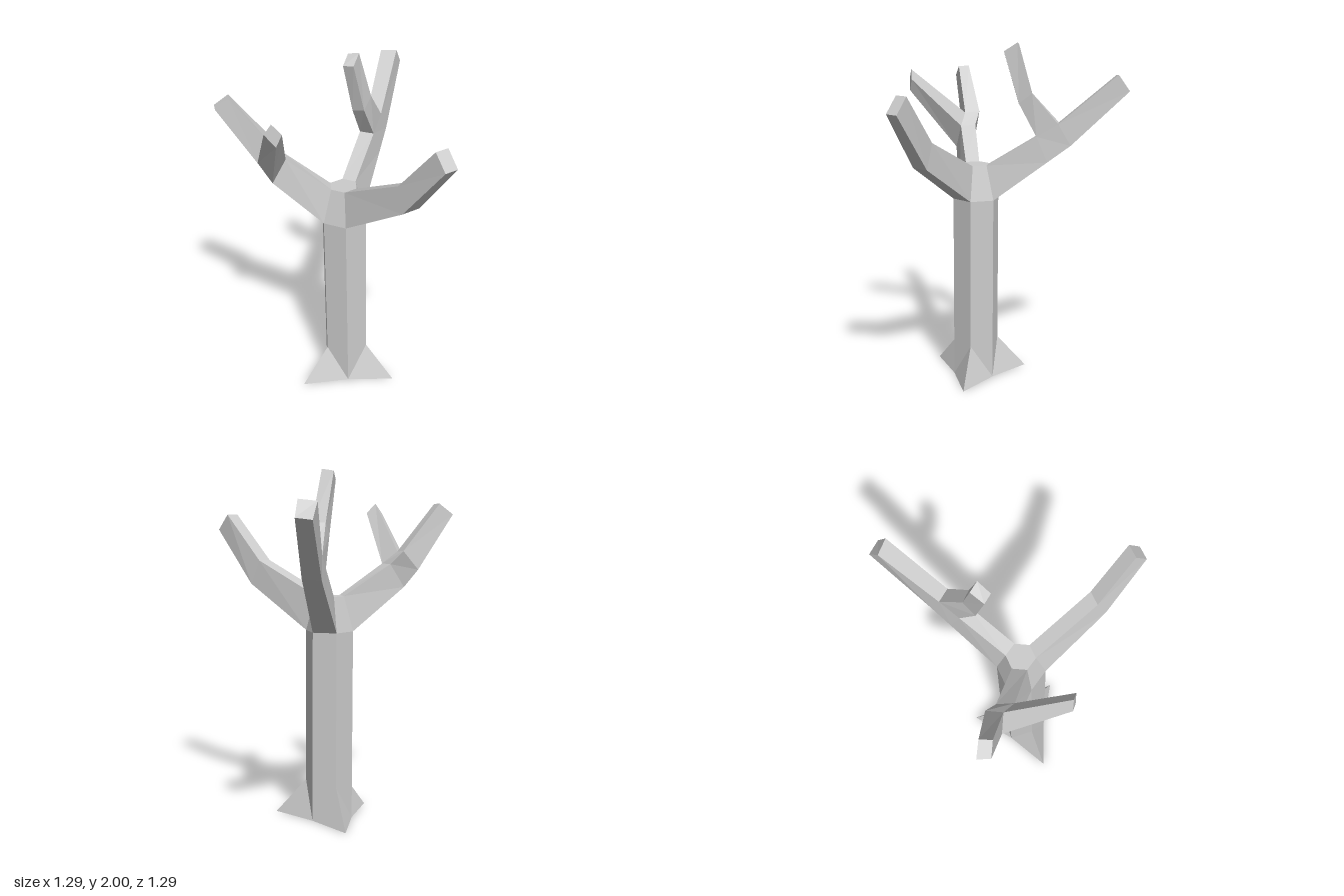
import * as THREE from 'three';

const material = new THREE.MeshStandardMaterial({ color: 0xcccccc, flatShading: true });

// Flat-shaded mesh from convex polygons, corners counter-clockwise from outside
function facetMesh(name, polygons) {
  const pos = [];
  for (const p of polygons)
    for (let i = 1; i < p.length - 1; i++) pos.push(...p[0], ...p[i], ...p[i + 1]);
  const geometry = new THREE.BufferGeometry();
  geometry.setAttribute('position', new THREE.Float32BufferAttribute(pos, 3));
  geometry.computeVertexNormals();
  const mesh = new THREE.Mesh(geometry, material);
  mesh.name = name;
  return mesh;
}

// Side k between two matching loops
function sideQuad(a, b, k) {
  const n = (k + 1) % a.length;
  return [a[k], a[n], b[n], b[k]];
}

// Tapering limb through four-cornered loops, closed at the tip;
// skip = [segment, side] leaves a hole where a twig grows
function limb(name, loops, skip = [-1, -1]) {
  const faces = [loops[loops.length - 1]];
  for (let s = 0; s < loops.length - 1; s++)
    for (let k = 0; k < 4; k++)
      if (s !== skip[0] || k !== skip[1]) faces.push(sideQuad(loops[s], loops[s + 1], k));
  return facetMesh(name, faces);
}

// Hexagon around the trunk axis
function hexRing(radius, y) {
  return Array.from({ length: 6 }, (_, i) => {
    const a = (i * Math.PI) / 3;
    return [-0.12 + radius * Math.sin(a), y, 0.09 + radius * Math.cos(a)];
  });
}

const lerpLoop = (a, b, t) => a.map((p, i) => p.map((v, j) => v + (b[i][j] - v) * t));

export function createModel() {
  const tree = new THREE.Group();
  tree.name = 'bareTree';

  const foot = hexRing(0.138, 0);
  const knee = hexRing(0.138, 0.21);
  const shoulder = hexRing(0.138, 1.1);
  const crown = hexRing(0.083, 1.3);
  const rootTips = hexRing(0.32, 0);

  // Trunk: every second corner starts at the top of a root
  const trunkBase = foot.map((p, i) => (i % 2 ? p : knee[i]));
  const trunkFaces = shoulder.map((_, i) => sideQuad(trunkBase, shoulder, i));
  tree.add(facetMesh('trunk', trunkFaces));

  // Roots: wedges at the front and the two back corners
  for (const i of [0, 2, 4]) {
    const prev = foot[(i + 5) % 6], next = foot[i + 1];
    tree.add(facetMesh('root', [
      [prev, rootTips[i], knee[i]],
      [rootTips[i], next, knee[i]],
      [prev, next, rootTips[i]],
    ]));
  }
  tree.add(facetMesh('trunkUnderside', [[foot[5], foot[3], foot[1]]]));

  // Crown: top cap and the three facets between the branches
  tree.add(facetMesh('crown', [crown, ...[0, 2, 4].map((i) => sideQuad(shoulder, crown, i))]));

  // Branch sockets are the other three facets
  const socket = (i) => sideQuad(shoulder, crown, i);

  // Left branch
  tree.add(limb('leftBranch', [
    socket(1),
    [[0.4, 1.35, 0.07], [0.4, 1.35, -0.04], [0.345, 1.49, -0.025], [0.345, 1.49, 0.06]],
    [[0.645, 1.67, 0], [0.645, 1.67, -0.08], [0.57, 1.76, -0.075], [0.57, 1.76, 0.005]],
  ]));

  // Back branch with an upright twig on its upper side
  const backStart = socket(3);
  const backBend = [[-0.38, 1.43, -0.4], [-0.46, 1.42, -0.335], [-0.415, 1.55, -0.285], [-0.345, 1.55, -0.335]];
  const backFork = lerpLoop(backStart, backBend, 0.7);
  tree.add(limb('backBranch', [
    backStart, backFork, backBend,
    [[-0.58, 1.74, -0.65], [-0.65, 1.73, -0.6], [-0.615, 1.82, -0.53], [-0.545, 1.83, -0.595]],
  ], [1, 2]));
  tree.add(limb('backTwig', [
    sideQuad(backFork, backBend, 2),
    [[-0.285, 1.655, -0.09], [-0.235, 1.66, -0.135], [-0.266, 1.72, -0.206], [-0.322, 1.715, -0.16]],
    [[-0.255, 1.945, -0.01], [-0.205, 1.95, -0.045], [-0.245, 2, -0.11], [-0.3, 1.99, -0.075]],
  ]));

  // Front branch with a twig on its inner side
  const frontFork = [[-0.42, 1.35, 0.39], [-0.31, 1.34, 0.437], [-0.277, 1.48, 0.365], [-0.367, 1.48, 0.33]];
  const frontBend = [[-0.488, 1.45, 0.43], [-0.4, 1.44, 0.475], [-0.356, 1.55, 0.405], [-0.436, 1.555, 0.36]];
  tree.add(limb('frontBranch', [
    socket(5), frontFork, frontBend,
    [[-0.585, 1.76, 0.618], [-0.52, 1.76, 0.645], [-0.48, 1.82, 0.58], [-0.54, 1.82, 0.55]],
  ], [1, 1]));
  tree.add(limb('frontTwig', [
    sideQuad(frontFork, frontBend, 1),
    [[-0.035, 1.7, 0.555], [-0.02, 1.77, 0.525], [-0.055, 1.825, 0.565], [-0.075, 1.77, 0.6]],
  ]));

  return tree;
}
